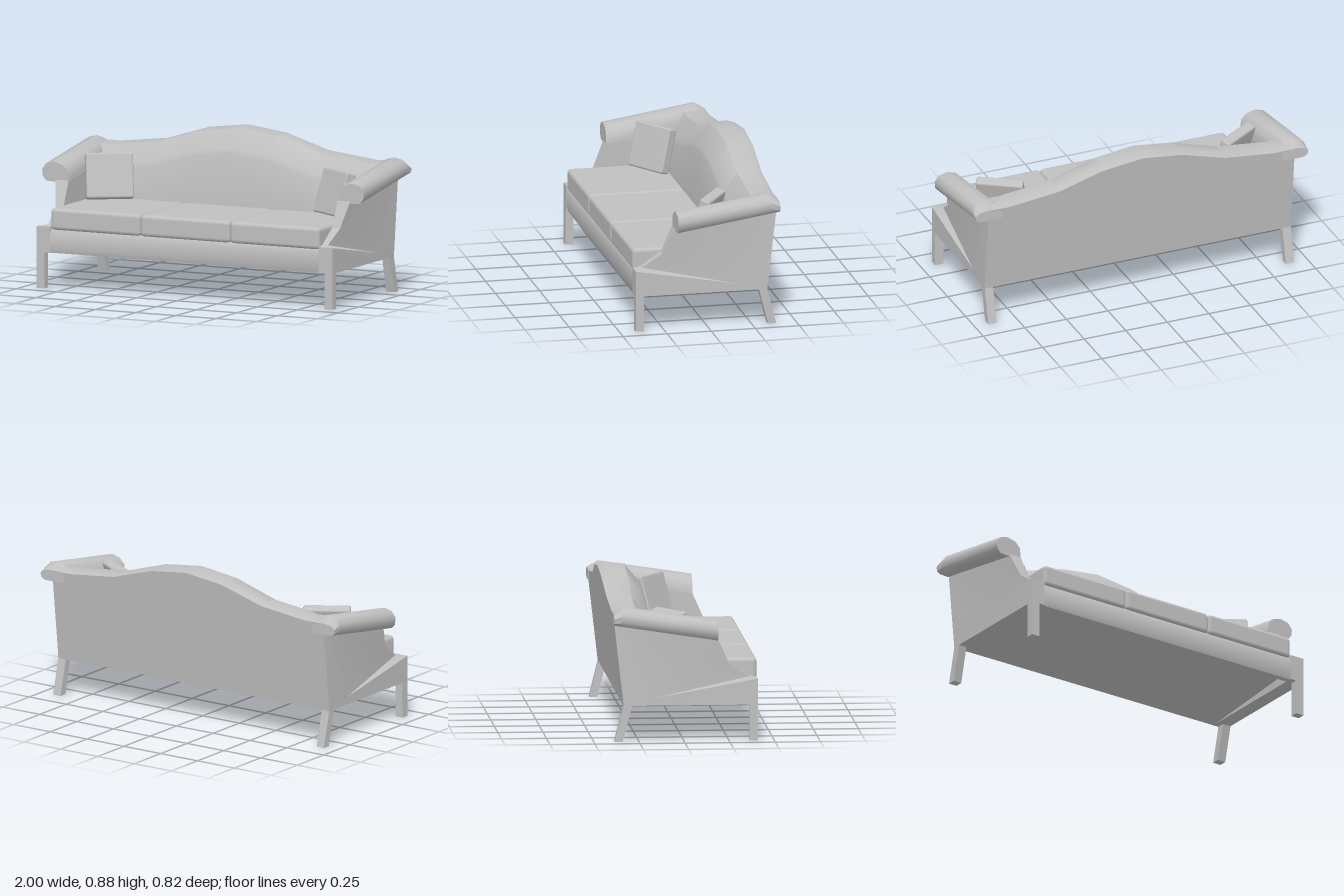
import * as THREE from 'three';
import { toCreasedNormals } from 'three/addons/utils/BufferGeometryUtils.js';
import { RoundedBoxGeometry } from 'three/addons/geometries/RoundedBoxGeometry.js';

const fabric = new THREE.MeshStandardMaterial({ color: 0xc0c0c0 });
fabric.name = 'grey fabric';

function indexed(points, index, crease = 0.7) {
  const g = new THREE.BufferGeometry();
  g.setAttribute('position', new THREE.Float32BufferAttribute(points.flat(), 3));
  g.setIndex(index);
  return toCreasedNormals(g, crease);
}

// Skin between equal loops, which run counter-clockwise seen from the last loop's end
function loft(loops, crease) {
  const n = loops[0].length, index = [], last = (loops.length - 1) * n;
  for (let s = 0; s < loops.length - 1; s++) {
    for (let i = 0; i < n; i++) {
      const j = (i + 1) % n, a = s * n, b = a + n;
      index.push(a + i, a + j, b + j, a + i, b + j, b + i);
    }
  }
  for (let i = 1; i < n - 1; i++) {
    index.push(0, i + 1, i, last, last + i, last + i + 1);
  }
  return indexed(loops.flat(), index, crease);
}

function add(parent, name, geometry, x = 0, y = 0, z = 0) {
  const mesh = new THREE.Mesh(geometry, fabric);
  mesh.name = name;
  mesh.position.set(x, y, z);
  parent.add(mesh);
  return mesh;
}

// Camelback: one section that follows the crest height along x
function backGeometry() {
  const half = [[0.24, 0.845], [0.5, 0.765], [0.8, 0.73], [0.9, 0.732]];
  const crest = [...half.map(([x, h]) => [-x, h]).reverse(), [0, 0.875], ...half];
  const rear = (y) => -0.335 - 0.113 * (y - 0.2);
  return loft(crest.map(([x, h]) => [
    [rear(0.2), 0.2], [rear(h - 0.015), h - 0.015], [-0.36, h], [-0.26, h - 0.01],
    [-0.175, h - 0.11], [-0.163, h - 0.14], [-0.125, 0.45], [-0.12, 0.32], [-0.3, 0.25],
  ].map(([z, y]) => [x, y, z])), 0.75);
}

// Side panel: front post below, hollowed flank above, flat inner face
function armPanelGeometry() {
  const outer = [
    [0.92, 0.2, 0.41], [0.92, 0.345, 0.41], [0.87, 0.352, 0.365], [0.885, 0.43, 0.25],
    [0.915, 0.575, 0.185], [0.92, 0.665, -0.388], [0.92, 0.2, -0.335],
  ];
  const n = outer.length;
  const inner = outer.map(([, y, z]) => [0.835, y, z]);
  const D = 2 * n, H = D + 1;
  const points = [...outer, ...inner, [0.92, 0.24, -0.17], [0.92, 0.64, -0.3]];
  const index = [
    0, 6, D, 0, D, 1, 1, D, 2, 2, D, 3, 3, D, H, 3, H, 4, 4, H, 5, D, 6, 5, D, 5, H,
  ];
  for (let i = 0; i < n; i++) {
    const j = (i + 1) % n;
    index.push(n + i, i, j, n + i, j, n + j);
  }
  const flat = inner.map(([, y, z]) => new THREE.Vector2(z, y));
  for (const f of THREE.ShapeUtils.triangulateShape(flat, [])) {
    index.push(...f.map((i) => i + n));
  }
  return indexed(points, index, 0.45);
}

// Rolled armrest, rising to the rear and lowered at its back end
function armRollGeometry() {
  const section = [
    [0.838, 0.57], [0.93, 0.563], [0.975, 0.567], [0.996, 0.59], [1, 0.63],
    [0.975, 0.663], [0.925, 0.675], [0.875, 0.662], [0.843, 0.63],
  ];
  return loft([[-0.393, 0.58], [-0.335, 1], [0.185, 1]].map(([z, squash]) =>
    section.map(([x, y]) =>
      [x, 0.565 + (y - 0.565) * squash + (0.185 - z) * 0.155, z])), 0.8);
}

// Straight leg, optionally raked towards the rear
function legGeometry(rake) {
  const g = new THREE.BoxGeometry(0.05, 0.2, 0.046);
  const p = g.attributes.position;
  for (let i = 0; i < p.count; i++) {
    if (p.getY(i) < 0) p.setZ(i, p.getZ(i) - rake);
  }
  g.computeVertexNormals();
  return g;
}

// Seat base with a hollow underside behind the front rail
function baseGeometry() {
  const shape = new THREE.Shape([
    [0.4, 0.2], [0.408, 0.225], [0.408, 0.31], [0.395, 0.332], [-0.3, 0.332],
    [-0.33, 0.2], [0.365, 0.255], [0.365, 0.2],
  ].map(([z, y]) => new THREE.Vector2(-z, y)));
  const g = new THREE.ExtrudeGeometry(shape, { depth: 1.68, bevelEnabled: false });
  g.rotateY(Math.PI / 2).translate(-0.84, 0, 0);
  return toCreasedNormals(g, 0.9);
}

export function createModel() {
  const sofa = new THREE.Group();
  sofa.name = 'sofa';

  add(sofa, 'seatBase', baseGeometry());
  add(sofa, 'backrest', backGeometry());

  // Three seat cushions
  for (const i of [-1, 0, 1]) {
    add(sofa, 'seatCushion', new RoundedBoxGeometry(0.556, 0.122, 0.55, 2, 0.022),
      i * 0.557, 0.389, 0.135);
  }

  // Each side: arm, legs and throw pillow
  for (const s of [1, -1]) {
    const side = new THREE.Group();
    side.name = s > 0 ? 'leftSide' : 'rightSide';
    side.scale.x = s;
    sofa.add(side);
    add(side, 'armPanel', armPanelGeometry());
    add(side, 'armRoll', armRollGeometry());
    add(side, 'frontLeg', legGeometry(0), 0.895, 0.1, 0.387);
    add(side, 'rearLeg', legGeometry(0.05), 0.895, 0.1, -0.312);
    const pillow = add(side, 'throwPillow',
      new RoundedBoxGeometry(0.265, 0.255, 0.062, 2, 0.012), 0.7, 0.58, -0.045);
    pillow.rotation.order = 'YXZ';
    pillow.rotation.set(-0.28, -0.57, 0);
  }
  return sofa;
}
